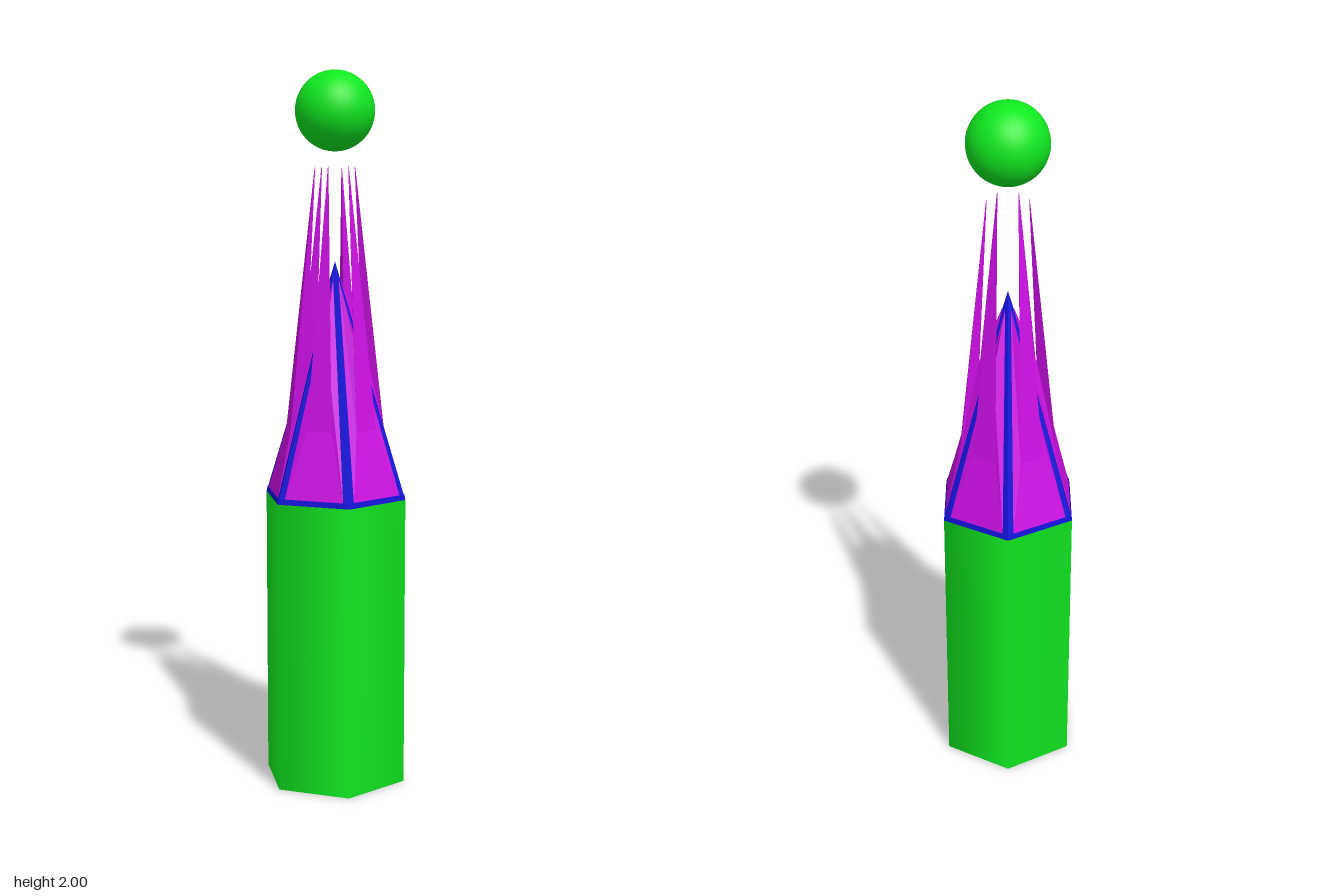
import * as THREE from 'three';

const green = new THREE.MeshStandardMaterial({ color: 0x10e820 });
const blue = new THREE.MeshStandardMaterial({ color: 0x1212d8, flatShading: true });
const purple = new THREE.MeshStandardMaterial({ color: 0xcc10e4, flatShading: true });

function add(parent, name, geometry, material, y = 0) {
  const mesh = new THREE.Mesh(geometry, material);
  mesh.name = name;
  mesh.position.y = y;
  parent.add(mesh);
  return mesh;
}

// Triangular cross-section: bottom edge (half width, y, z) and top corner (y, z)
const section = (w, y, z, topY, topZ) => [[-w, y, z], [w, y, z], [0, topY, topZ]];

// Solid through successive triangular sections, closed at the outer end
function loft(sections) {
  const pos = [];
  for (let s = 0; s < sections.length - 1; s++) {
    const a = sections[s], b = sections[s + 1];
    for (let i = 0; i < 3; i++) {
      const j = (i + 1) % 3;
      pos.push(...a[i], ...a[j], ...b[j], ...a[i], ...b[j], ...b[i]);
    }
  }
  pos.push(...sections[sections.length - 1].flat());
  const g = new THREE.BufferGeometry();
  g.setAttribute('position', new THREE.Float32BufferAttribute(pos, 3));
  g.computeVertexNormals();
  return g;
}

export function createModel() {
  const model = new THREE.Group();
  const hex = (top, bottom, h) => new THREE.CylinderGeometry(top, bottom, h, 6).rotateY(Math.PI / 6);

  // Hexagonal column with softly shaded sides
  add(model, 'column', hex(0.208, 0.208, 0.82), green, 0.41);

  // Blue rim and pyramid showing between the plates
  add(model, 'rim', hex(0.205, 0.208, 0.015), blue, 0.8275);
  add(model, 'pyramid', hex(0, 0.203, 0.645), blue, 1.1575);

  // Six plates, each drawn out into a long thin spike
  const spike = loft([
    section(0.08, 0.825, 0.15, 1.38, 0.0),
    section(0.085, 0.832, 0.177, 1.43, 0.016),
    section(0.036, 1.02, 0.132, 1.27, 0.078),
    section(0.001, 1.735, 0.057, 1.74, 0.055),
  ]);
  for (let i = 0; i < 6; i++) {
    add(model, 'spikePlate' + (i + 1), spike, purple).rotation.y = (i * Math.PI) / 3;
  }

  // Floating ball
  add(model, 'ball', new THREE.SphereGeometry(0.11, 32, 24), green, 1.89);
  return model;
}
